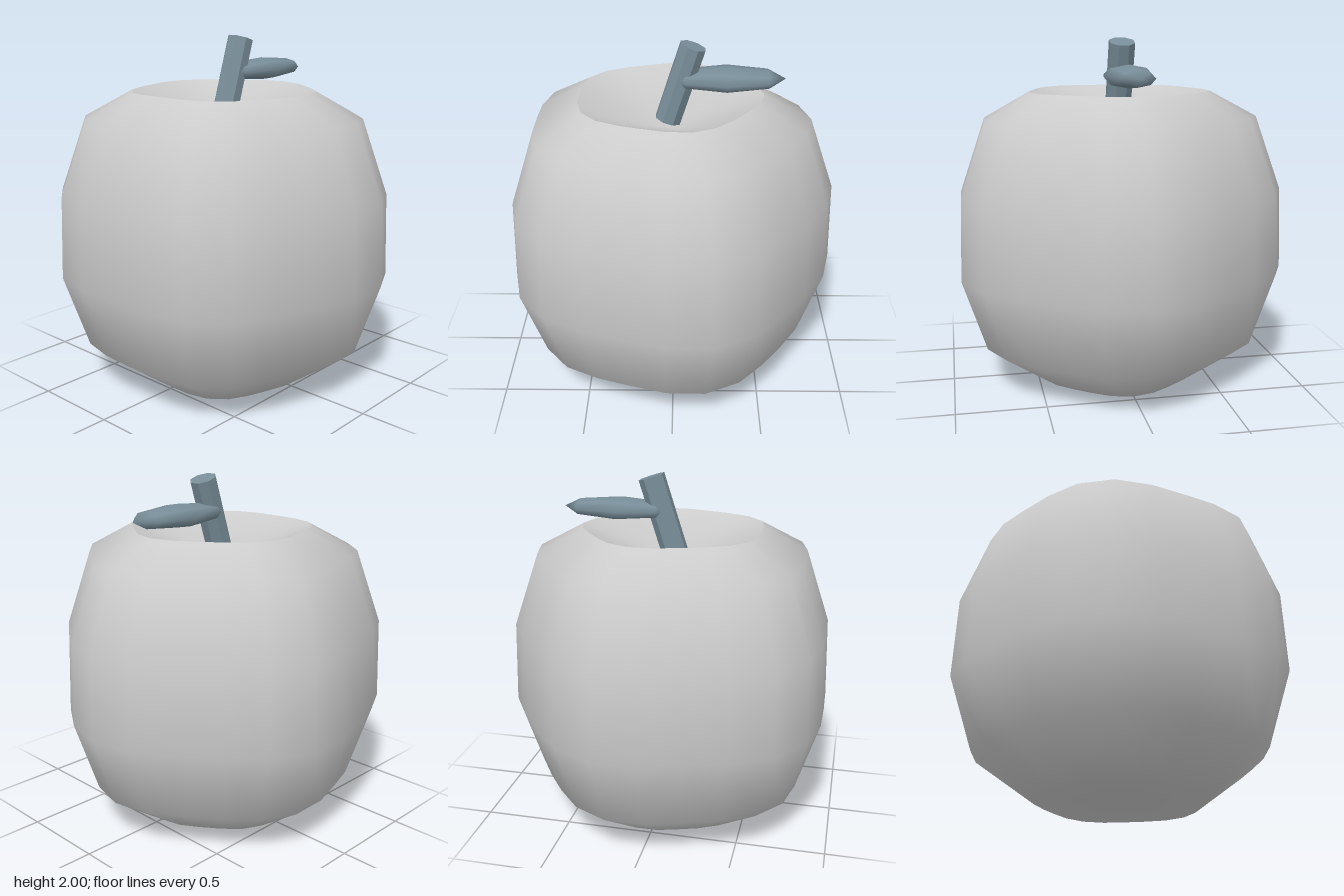
import * as THREE from 'three';
import { mergeVertices } from 'three/addons/utils/BufferGeometryUtils.js';

const CENTER_X = -0.03;

// Lathe around the core, swollen into five gentle lobes, smooth across the seam
function lobedLathe(profile) {
  const lathe = new THREE.LatheGeometry(profile.map(([r, y]) => new THREE.Vector2(r, y)), 24);
  const pos = lathe.attributes.position;
  for (let i = 0; i < pos.count; i++) {
    const x = pos.getX(i), z = pos.getZ(i);
    const swell = 1 + 0.04 * Math.cos(5 * Math.atan2(z, x));
    pos.setXYZ(i, x * swell + CENTER_X, pos.getY(i), z * swell);
  }
  lathe.deleteAttribute('uv');
  lathe.deleteAttribute('normal');
  const geometry = mergeVertices(lathe, 1e-4);
  geometry.computeVertexNormals();
  return geometry;
}

export function createModel() {
  const group = new THREE.Group();
  const skin = new THREE.MeshStandardMaterial({ color: 0xcccccc });
  const green = new THREE.MeshStandardMaterial({ color: 0x788d98 });
  const faceted = new THREE.MeshStandardMaterial({ color: 0x788d98, flatShading: true });

  const add = (name, geometry, material) => {
    const mesh = new THREE.Mesh(geometry, material);
    mesh.name = name;
    group.add(mesh);
    return mesh;
  };

  // Fruit body, from the underside up to the rim
  add('fruitBody', lobedLathe([
    [0, 0.03], [0.47, 0], [0.80, 0.24], [0.935, 0.66],
    [0.92, 1.13], [0.775, 1.555], [0.515, 1.7],
  ]), skin);

  // Hollow at the top, kept separate so the rim stays sharp
  add('topHollow', lobedLathe([[0.515, 1.7], [0, 1.5]]), skin);

  // Leaning eight-sided stem
  const base = new THREE.Vector3(-0.033, 1.55, 0);
  const tip = new THREE.Vector3(0.105, 1.98, 0);
  const axis = tip.clone().sub(base);
  const stemGeometry = new THREE.CylinderGeometry(0.076, 0.076, axis.length(), 8);
  stemGeometry.rotateY(Math.PI / 8);
  const stem = add('stem', stemGeometry, faceted);
  stem.position.copy(base).add(tip).multiplyScalar(0.5);
  stem.quaternion.setFromUnitVectors(new THREE.Vector3(0, 1, 0), axis.normalize());

  // Leaf: a coarse flattened spindle pointing to the side
  const leafGeometry = new THREE.SphereGeometry(1, 8, 4);
  leafGeometry.rotateZ(-Math.PI / 2);
  leafGeometry.scale(0.325, 0.065, 0.14);
  add('leaf', leafGeometry, green).position.set(0.293, 1.795, 0);

  return group;
}
